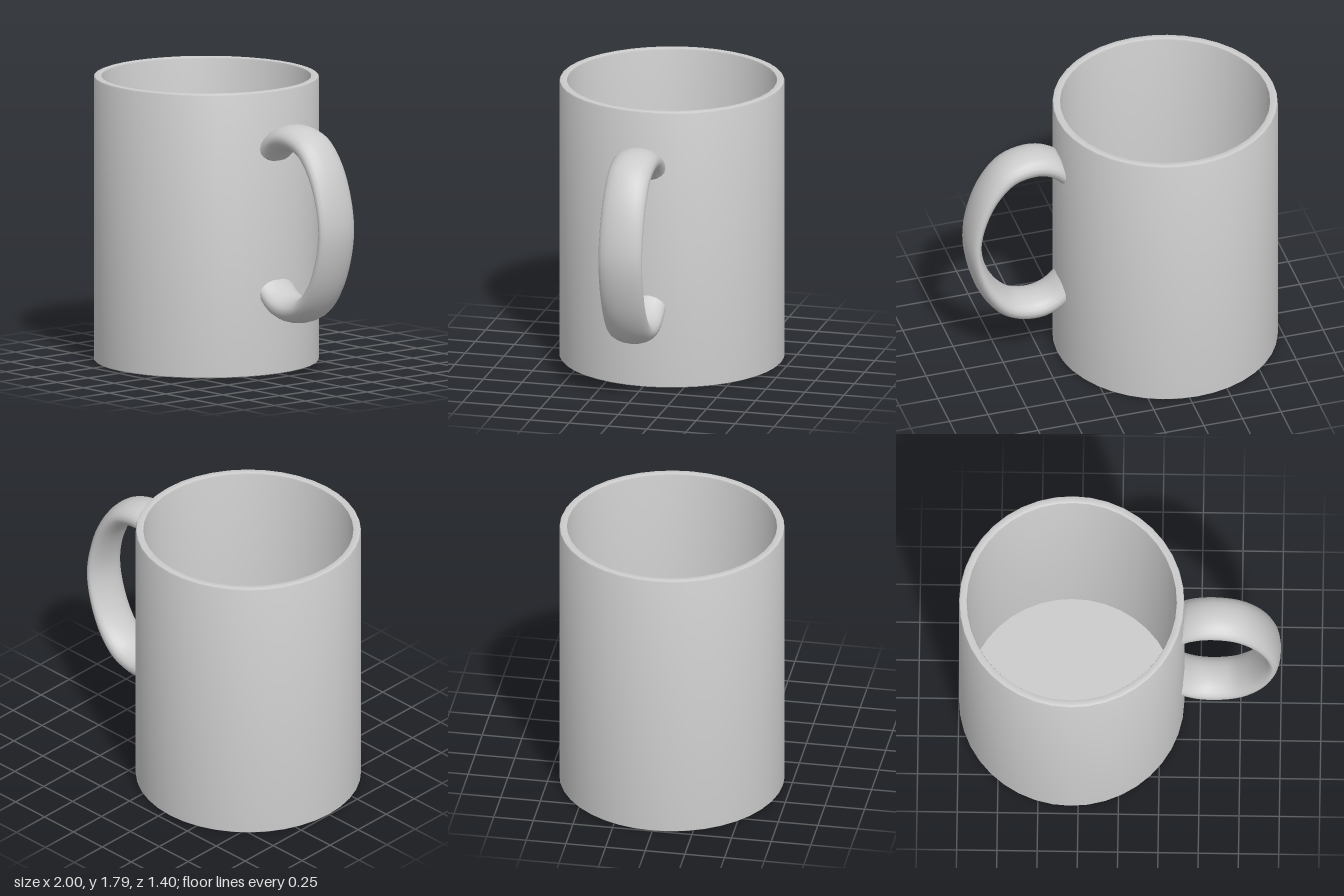
import * as THREE from 'three';
import { toCreasedNormals } from 'three/addons/utils/BufferGeometryUtils.js';

const CX = -0.3, MID_Y = 0.97;

// Hollow cup: outer wall, softened rim, inner wall and floor in one lathe
function cupGeometry() {
  const profile = [
    [0, 0], [0.695, 0], [0.7, 0.005], [0.7, 1.778], [0.696, 1.787], [0.688, 1.79],
    [0.662, 1.79], [0.653, 1.787], [0.65, 1.778], [0.65, 0.05], [0, 0.05],
  ].map(([r, y]) => new THREE.Vector2(r, y));
  return toCreasedNormals(new THREE.LatheGeometry(profile, 40), 0.6);
}

// Elliptical section swept along the loop, thinner at its outermost point
function handleGeometry() {
  const upper = [[0.29, 1.31], [0.35, 1.39], [0.425, 1.465], [0.51, 1.505], [0.61, 1.51],
    [0.73, 1.47], [0.84, 1.35], [0.92, 1.17]];
  const lower = upper.map(([x, y]) => [x, 2 * MID_Y - y]).reverse();
  const path = new THREE.CatmullRomCurve3(
    [...upper, [0.953, MID_Y], ...lower].map(([x, y]) => new THREE.Vector3(x, y, 0)));
  const steps = 64, sides = 20, pos = [], index = [];
  for (let i = 0; i <= steps; i++) {
    const p = path.getPointAt(i / steps), t = path.getTangentAt(i / steps);
    const rise = Math.min(1, Math.abs(p.y - MID_Y) / 0.54);
    const half = 0.047 + 0.034 * rise ** 2;
    for (let j = 0; j < sides; j++) {
      const a = (j / sides) * Math.PI * 2;
      const out = Math.cos(a) * half, z = Math.sin(a) * 0.14;
      // the ends stop inside the thickness of the cup wall
      const wall = CX + Math.sqrt(0.675 ** 2 - z * z);
      pos.push(Math.max(wall, p.x - t.y * out), p.y + t.x * out, z);
      if (i < steps) {
        const k = (j + 1) % sides, b = i * sides, c = b + sides;
        index.push(b + j, b + k, c + j, b + k, c + k, c + j);
      }
    }
  }
  const geo = new THREE.BufferGeometry();
  geo.setAttribute('position', new THREE.Float32BufferAttribute(pos, 3));
  geo.setIndex(index);
  geo.computeVertexNormals();
  return geo;
}

export function createModel() {
  const group = new THREE.Group();
  group.name = 'mug';
  const material = new THREE.MeshStandardMaterial({ color: 0xcccccc });

  const cup = new THREE.Mesh(cupGeometry(), material);
  cup.name = 'cup';
  cup.position.x = CX;

  const handle = new THREE.Mesh(handleGeometry(), material);
  handle.name = 'handle';

  group.add(cup, handle);
  return group;
}
